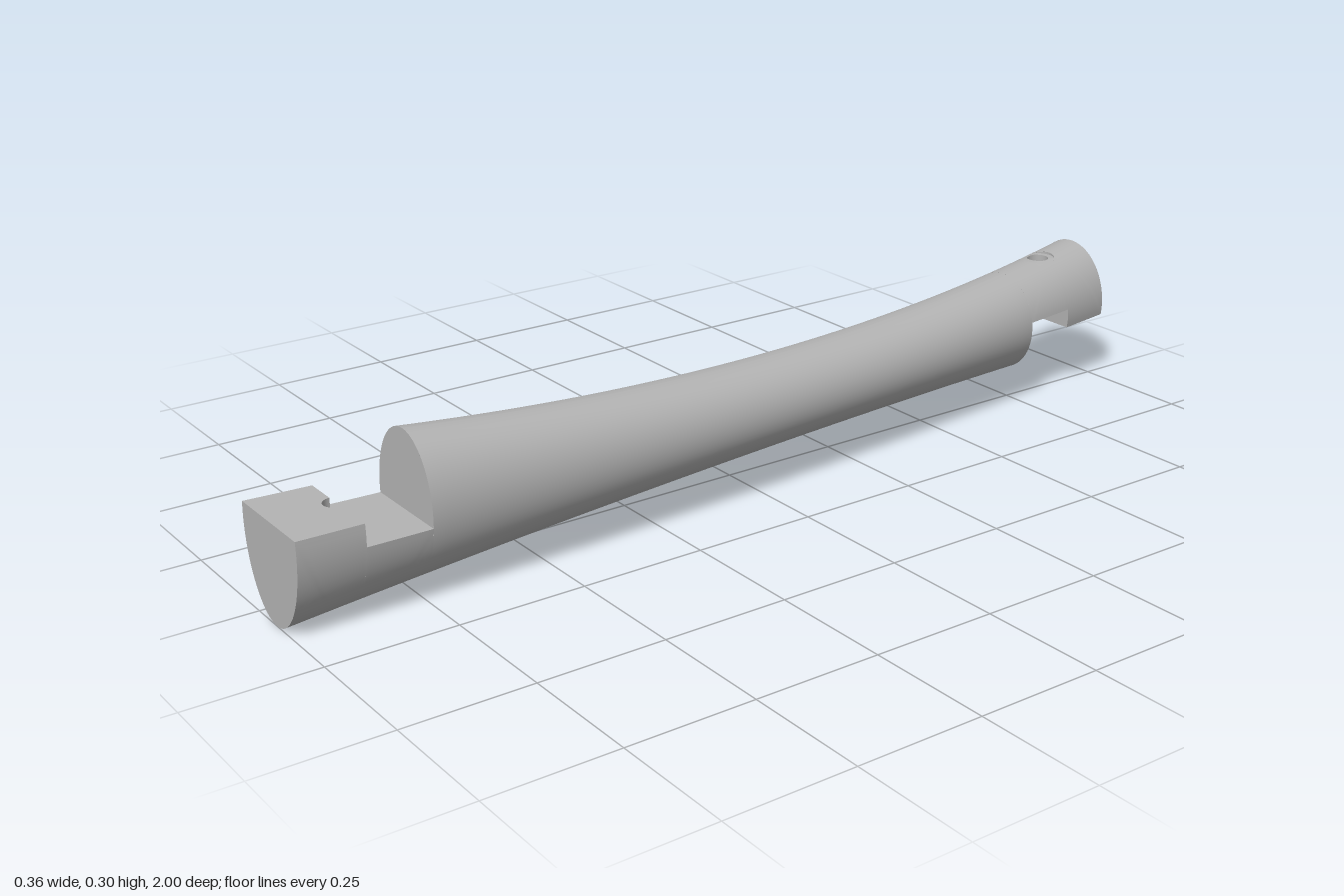
import * as THREE from 'three';

const grey = new THREE.MeshStandardMaterial({ color: 0xb4b4b4, side: THREE.DoubleSide });
grey.name = 'plain grey';

// Elliptical section of the curved beam at a given z
const CY = 0.168;
const cx = z => 0.06 + 0.0725 * z - 0.0625 * z * z;
const rx = z => 0.089 + 0.015 * z * z;
const ry = z => 0.087 + 0.0555 * (z + 0.2) ** 2;

// Point on the section; t is measured from the top (s = 1) or bottom (s = -1)
const onSkin = (t, z, s) => [cx(z) + rx(z) * Math.sin(t), CY + s * ry(z) * Math.cos(t), z];
// Half angle kept when the section is cut at height y
const cutAngle = (z, y, s) => Math.acos(s * (y - CY) / ry(z));
const mix = THREE.MathUtils.lerp;

// Smooth surface patch from a rule f(u, v), u and v running 0..1
function patch(name, nu, nv, f, flip = false) {
  const pos = [], index = [];
  for (let j = 0; j <= nv; j++) for (let i = 0; i <= nu; i++) pos.push(...f(i / nu, j / nv));
  for (let j = 0; j < nv; j++) for (let i = 0; i < nu; i++) {
    const a = j * (nu + 1) + i, b = a + 1, d = a + nu + 1, c = d + 1;
    index.push(...(flip ? [a, c, b, a, d, c] : [a, b, c, a, c, d]));
  }
  const g = new THREE.BufferGeometry();
  g.setAttribute('position', new THREE.Float32BufferAttribute(pos, 3));
  g.setIndex(index);
  g.computeVertexNormals();
  const mesh = new THREE.Mesh(g, grey);
  mesh.name = name;
  return mesh;
}

// Flat end face: the part of the section beyond the cut height
function endFace(name, z, y, s, facing) {
  return patch(name, 48, 1, (u, v) => {
    const t = cutAngle(z, y, s), k = 2 * u - 1;
    const p = onSkin(k * t, z, s);
    return [mix(cx(z) + rx(z) * Math.sin(t) * k, p[0], v), mix(y, p[1], v), z];
  }, s * facing < 0);
}

// Stepped lap joint with a vertical bolt hole; e = 1 front end, -1 back end
function lapJoint(name, e, hx, yInner, yTip, ySeat) {
  const group = new THREE.Group();
  group.name = name;
  const s = -e, zc = 0.875 * e, L = 0.125, r = 0.023, R = 0.036;

  for (const [part, d, y] of [['inner', -e, yInner], ['tip', e, yTip]]) {
    const ring = (a, rad) => [hx + rad * Math.cos(a), zc + d * rad * Math.sin(a)];
    const skinY = (x, z) => onSkin(Math.asin((x - cx(z)) / rx(z)), z, s)[1];
    const seatY = (x, z) => s * Math.min(s * ySeat, s * skinY(x, z));
    // Blend from the half circle of the hole to the edges of this half
    const spread = (rad, toU, toPoint) => (u, v) => {
      const a = u * Math.PI, [x, z] = ring(a, rad);
      const k = 1 / Math.max(Math.abs(Math.cos(a)), Math.sin(a));
      return toPoint(mix(toU(x, z), Math.cos(a) * k, v), mix(z, zc + d * L * Math.sin(a) * k, v));
    };
    const width = z => rx(z) * Math.sin(cutAngle(z, y, s));

    group.add(
      patch(part + 'Skin', 64, 16, spread(R,
        (x, z) => Math.asin((x - cx(z)) / rx(z)) / cutAngle(z, y, s),
        (u, z) => onSkin(u * cutAngle(z, y, s), z, s)), d * s < 0),
      patch(part + 'LapFace', 64, 8, spread(r,
        (x, z) => (x - cx(z)) / width(z),
        (u, z) => [cx(z) + u * width(z), y, z]), d * s > 0),
      // Bolt hole, seat and seat wall
      patch(part + 'Bore', 24, 1, (u, v) => {
        const [x, z] = ring(u * Math.PI, r);
        return [x, mix(seatY(x, z), y, v), z];
      }, s * d > 0),
      patch(part + 'BoltSeat', 24, 1, (u, v) => {
        const [x, z] = ring(u * Math.PI, mix(r, R, v));
        return [x, seatY(x, z), z];
      }, s * d < 0),
      patch(part + 'SeatWall', 24, 1, (u, v) => {
        const [x, z] = ring(u * Math.PI, R);
        return [x, mix(seatY(x, z), skinY(x, z), v), z];
      }, s * d < 0));
  }

  // Step between the two lap faces, on each side of the hole
  for (const side of [-1, 1]) {
    group.add(patch('lapStep', 1, 6, (u, v) => {
      const y = mix(yInner, yTip, v);
      const edge = cx(zc) + side * rx(zc) * Math.sin(cutAngle(zc, y, s));
      return [mix(hx + side * r, edge, u), y, zc];
    }, side > 0));
  }

  group.add(
    endFace('tipFace', e, yTip, s, e),
    endFace('shoulder', 0.75 * e, yInner, -s, e));
  return group;
}

export function createModel() {
  const model = new THREE.Group();
  model.name = 'curvedBeam';
  model.add(
    patch('beamBody', 64, 48, (u, v) => onSkin(u * Math.PI * 2, mix(-0.75, 0.75, v), 1), true),
    lapJoint('frontLapJoint', 1, 0.066, 0.152, 0.195, 0.024),
    lapJoint('backLapJoint', -1, -0.053, 0.186, 0.145, 0.278));
  return model;
}
